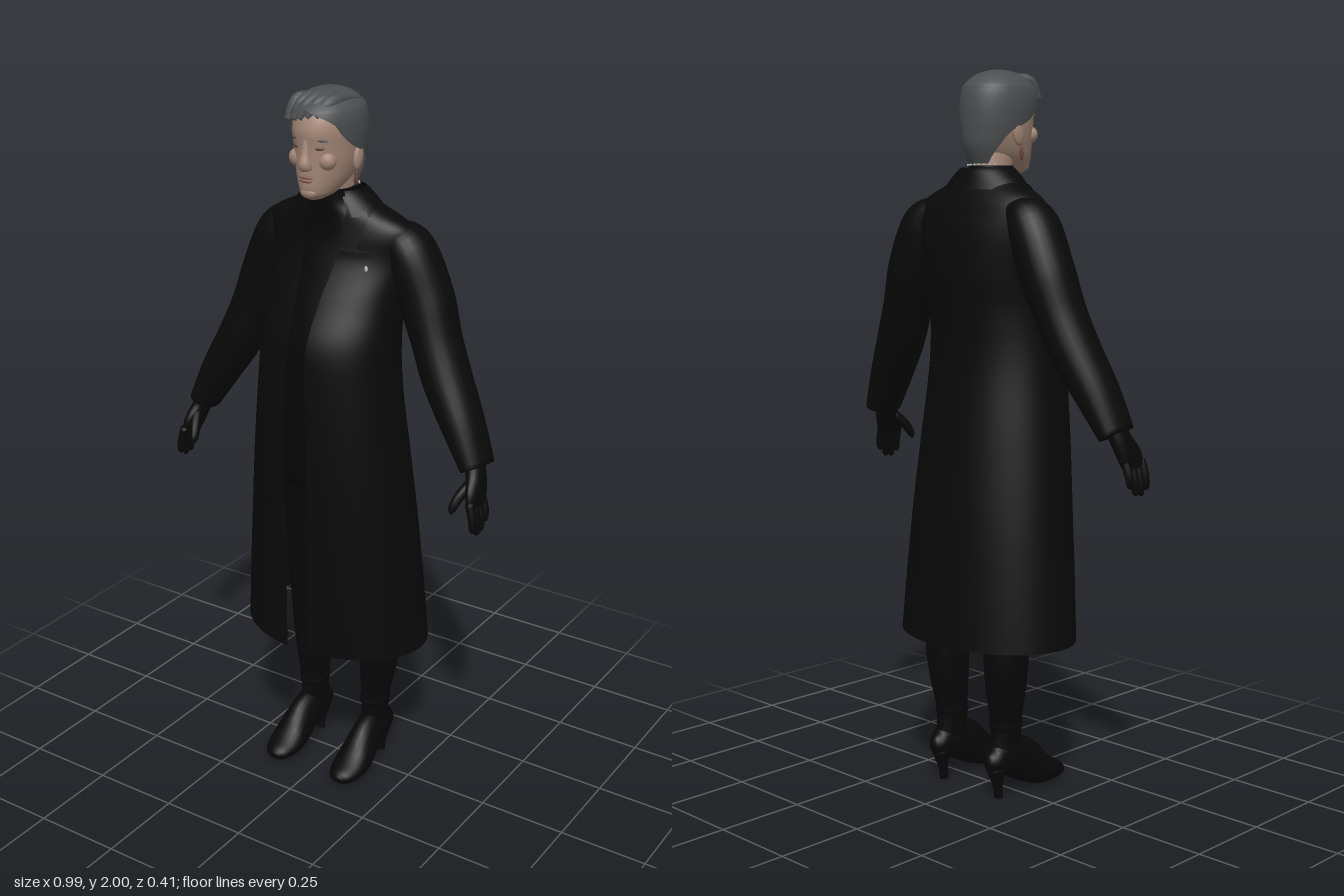
import * as THREE from 'three';
import { mergeVertices } from 'three/addons/utils/BufferGeometryUtils.js';

const V3 = (x, y, z) => new THREE.Vector3(x, y, z);
const mat = (name, color, side = THREE.FrontSide) => {
  const m = new THREE.MeshStandardMaterial({ color, side });
  m.name = name;
  return m;
};

// Smooth interpolation through rows of numbers, t from 0 to 1
function sample(rows, t) {
  const f = t * (rows.length - 1), i = Math.min(Math.floor(f), rows.length - 2), u = f - i;
  const at = k => rows[Math.max(0, Math.min(rows.length - 1, k))];
  return rows[i].map((p1, c) => {
    const p0 = at(i - 1)[c], p2 = at(i + 1)[c], p3 = at(i + 2)[c];
    return p1 + 0.5 * u * (p2 - p0 + u * (2 * p0 - 5 * p1 + 4 * p2 - p3 + u * (3 * (p1 - p2) + p3 - p0)));
  });
}

// Surface through rings of equal point count
function skin(rings, caps) {
  const n = rings[0].length, pos = [], idx = [];
  rings.flat().forEach(p => pos.push(p.x, p.y, p.z));
  for (let i = 0; i < rings.length - 1; i++)
    for (let j = 0; j < n - 1; j++) {
      const a = i * n + j, b = a + 1, c = a + n, d = c + 1;
      idx.push(a, b, d, a, d, c);
    }
  if (caps) [0, rings.length - 1].forEach((r, end) => {
    const mid = rings[r].slice(0, -1).reduce((s, p) => s.add(p), V3(0, 0, 0)).divideScalar(n - 1);
    const k = pos.length / 3;
    pos.push(mid.x, mid.y, mid.z);
    for (let j = 0; j < n - 1; j++) {
      const a = r * n + j;
      end ? idx.push(k, a, a + 1) : idx.push(k, a + 1, a);
    }
  });
  let g = new THREE.BufferGeometry();
  g.setAttribute('position', new THREE.Float32BufferAttribute(pos, 3));
  g.setIndex(idx);
  g = mergeVertices(g, 1e-5);
  g.computeVertexNormals();
  return g;
}

// Horizontal elliptical shell; rows: y, half width, front z, back z, start angle, end angle (degrees from the front)
function shell(rows, { steps = 40, n = 48, caps = false } = {}) {
  const rings = [];
  for (let i = 0; i <= steps; i++) {
    const [y, rx, zf, zb, a0 = 0, a1 = 360 - a0] = sample(rows, i / steps);
    const ring = [];
    for (let j = 0; j <= n; j++) {
      const a = THREE.MathUtils.degToRad(a0 + (a1 - a0) * j / n);
      ring.push(V3(rx * Math.sin(a), y, (zf + zb) / 2 + (zf - zb) / 2 * Math.cos(a)));
    }
    rings.push(ring);
  }
  return skin(rings, caps);
}

// Limb along a path; rows: x, y, z, radius along ref, radius across
function limb(rows, s = 1, { ref = V3(0, 0, 1), steps = 24, n = 24 } = {}) {
  const at = t => { const r = sample(rows, t); return { p: V3(r[0] * s, r[1], r[2]), u: r[3], v: r[4] }; };
  const rings = [];
  for (let i = 0; i <= steps; i++) {
    const t = i / steps, { p, u, v } = at(t);
    const T = at(Math.min(1, t + 0.01)).p.sub(at(Math.max(0, t - 0.01)).p).normalize();
    const U = ref.clone().addScaledVector(T, -ref.dot(T)).normalize(), W = T.clone().cross(U);
    rings.push(Array.from({ length: n + 1 }, (_, j) => {
      const a = j / n * Math.PI * 2;
      return p.clone().addScaledVector(U, u * Math.cos(a)).addScaledVector(W, v * Math.sin(a));
    }));
  }
  return skin(rings, true);
}

export function createModel() {
  const coat = mat('coat black', 0x090909, THREE.DoubleSide);
  const cloth = mat('clothing black', 0x070707);
  const hair = mat('hair grey', 0x4b4d4e, THREE.DoubleSide);
  const face = mat('skin', 0xa18575);
  const lip = mat('lips', 0x8a6459);
  const eye = mat('eyes', 0x5e4c44);
  const metal = mat('silver', 0xb8b8b8);
  const drop = mat('earring brown', 0x6b4030);

  const model = new THREE.Group();
  const add = (name, geo, m) => {
    const mesh = new THREE.Mesh(geo, m);
    mesh.name = name;
    model.add(mesh);
    return mesh;
  };
  const blob = (name, m, x, y, z, rx, ry, rz) => {
    const b = add(name, new THREE.SphereGeometry(1, 16, 12), m);
    b.position.set(x, y, z);
    b.scale.set(rx, ry, rz);
    return b;
  };

  // Long open coat
  add('coat', shell([
    [0.44, 0.28, 0.2, -0.205, 8], [0.62, 0.266, 0.203, -0.192, 8], [0.8, 0.25, 0.205, -0.177, 8],
    [1.0, 0.23, 0.208, -0.155, 9], [1.2, 0.208, 0.205, -0.133, 9], [1.34, 0.197, 0.194, -0.136, 9],
    [1.45, 0.197, 0.145, -0.146, 11], [1.55, 0.21, 0.092, -0.14, 14], [1.62, 0.222, 0.074, -0.121, 16],
    [1.655, 0.2, 0.066, -0.105, 18], [1.69, 0.13, 0.062, -0.085, 28], [1.72, 0.08, 0.06, -0.07, 35],
  ], { steps: 66, n: 64 }), coat);
  // Turned-down collar
  add('collar', shell([
    [1.675, 0.14, 0.085, -0.102, 38], [1.7, 0.118, 0.078, -0.09, 38],
    [1.725, 0.09, 0.07, -0.08, 40], [1.735, 0.077, 0.062, -0.07, 42],
  ], { steps: 12 }), coat);
  // Lapels with a notch near the top
  for (const s of [1, -1]) {
    const rows = [
      [1.2, 0.212, 0.211, -0.133, 9, 10], [1.34, 0.202, 0.201, -0.136, 9, 20],
      [1.45, 0.202, 0.153, -0.146, 11, 31], [1.55, 0.216, 0.1, -0.14, 14, 40],
      [1.59, 0.222, 0.088, -0.13, 15, 40], [1.6, 0.226, 0.085, -0.128, 15, 28],
      [1.655, 0.206, 0.073, -0.105, 18, 36], [1.69, 0.138, 0.07, -0.085, 28, 55],
    ].map(r => s > 0 ? r : [...r.slice(0, 4), 360 - r[5], 360 - r[4]]);
    add(s > 0 ? 'leftLapel' : 'rightLapel', shell(rows, { steps: 42, n: 12 }), coat);
  }

  // Dress body and high neck under the coat
  add('innerTop', shell([
    [0.9, 0.17, 0.12, -0.11], [1.2, 0.17, 0.15, -0.11], [1.34, 0.17, 0.15, -0.115], [1.5, 0.18, 0.1, -0.12],
    [1.6, 0.18, 0.07, -0.1], [1.66, 0.12, 0.065, -0.08], [1.7, 0.068, 0.07, -0.062], [1.74, 0.06, 0.073, -0.052],
  ], { caps: true }), cloth);
  add('neck', limb([[0, 1.68, 0.005, 0.05, 0.05], [0, 1.72, 0.012, 0.055, 0.052], [0, 1.8, 0.03, 0.06, 0.055]]), face);
  // Necklace beads showing above the high neck at the nape
  for (let i = -4; i <= 4; i++) {
    const a = Math.PI + i * 0.24;
    blob('bead', metal, 0.062 * Math.sin(a), 1.742, 0.01 + 0.064 * Math.cos(a), 0.003, 0.003, 0.003);
  }
  blob('lapelPin', metal, 0.14, 1.55, 0.079, 0.005, 0.008, 0.004);

  // Head
  add('head', shell([
    [1.722, 0.018, 0.125, 0.07], [1.735, 0.04, 0.141, 0.03], [1.755, 0.054, 0.146, -0.01], [1.78, 0.066, 0.146, -0.04],
    [1.82, 0.077, 0.146, -0.06], [1.86, 0.082, 0.147, -0.068], [1.9, 0.084, 0.15, -0.068],
    [1.94, 0.078, 0.135, -0.06], [1.97, 0.055, 0.1, -0.03], [1.985, 0.02, 0.06, 0.02],
  ], { caps: true }), face);
  add('nose', limb([
    [0, 1.805, 0.142, 0.014, 0.018], [0, 1.818, 0.147, 0.019, 0.018],
    [0, 1.845, 0.146, 0.011, 0.011], [0, 1.88, 0.143, 0.006, 0.009],
  ]), face);
  blob('chin', face, 0, 1.742, 0.13, 0.026, 0.016, 0.017);
  blob('upperLip', lip, 0, 1.784, 0.146, 0.024, 0.005, 0.006);
  blob('lowerLip', lip, 0, 1.775, 0.145, 0.02, 0.006, 0.007);
  for (const s of [1, -1]) {
    blob('eye', eye, s * 0.034, 1.858, 0.135, 0.014, 0.005, 0.004).rotation.y = s * 0.4;
    const brow = blob('eyebrow', hair, s * 0.036, 1.879, 0.135, 0.02, 0.004, 0.004);
    brow.rotation.set(0, s * 0.42, -s * 0.12);
    blob('cheek', face, s * 0.043, 1.825, 0.115, 0.026, 0.024, 0.022);
    blob('ear', face, s * 0.083, 1.825, 0.03, 0.01, 0.034, 0.019).rotation.x = -0.2;
    blob('earring', drop, s * 0.085, 1.773, 0.04, 0.005, 0.02, 0.005);
  }

  // Short swept hair
  add('hair', shell([
    [1.745, 0.058, 0.06, -0.052, 140], [1.79, 0.077, 0.12, -0.072, 122], [1.83, 0.088, 0.14, -0.077, 106],
    [1.86, 0.093, 0.15, -0.079, 76], [1.89, 0.096, 0.155, -0.079, 58], [1.92, 0.096, 0.157, -0.076, 46],
    [1.94, 0.093, 0.152, -0.071, 22], [1.955, 0.087, 0.143, -0.064, 0], [1.978, 0.064, 0.115, -0.038, 0],
    [1.993, 0.033, 0.078, 0.0, 0], [1.998, 0.001, 0.04, 0.038, 0],
  ], { steps: 50 }), hair);
  for (let i = 0; i < 5; i++) {
    const x = 0.045 - i * 0.024;
    add('hairLock', limb([
      [x * 0.9 - 0.02, 1.935 - i * 0.004, 0.142 - Math.abs(x) * 0.25, 0.006, 0.01],
      [x - 0.005, 1.965, 0.122 - Math.abs(x) * 0.3, 0.011, 0.015],
      [x + 0.012, 1.984 - Math.abs(x) * 0.25, 0.07, 0.011, 0.015],
      [x + 0.02, 1.978 - Math.abs(x) * 0.25, 0.0, 0.004, 0.006],
    ], 1, { n: 12 }), hair);
  }

  for (const s of [1, -1]) {
    const side = s > 0 ? 'left' : 'right';
    // Sleeve, from shoulder to cuff
    add(side + 'Sleeve', limb([
      [0.15, 1.625, -0.035, 0.055, 0.035], [0.2, 1.585, -0.038, 0.075, 0.064], [0.25, 1.465, -0.04, 0.077, 0.073],
      [0.292, 1.355, -0.03, 0.074, 0.066], [0.333, 1.26, -0.018, 0.073, 0.065],
      [0.395, 1.15, 0.0, 0.068, 0.055], [0.449, 1.047, 0.014, 0.06, 0.04],
    ], s, { steps: 36 }), coat);

    // Gloved hand
    add(side + 'Palm', limb([
      [0.44, 1.07, 0.015, 0.032, 0.024], [0.455, 1.025, 0.03, 0.036, 0.024],
      [0.466, 0.985, 0.05, 0.043, 0.021], [0.472, 0.955, 0.058, 0.038, 0.014],
    ], s), cloth);
    for (let i = 0; i < 4; i++) {
      const z = 0.024 + i * 0.022, len = [0.055, 0.075, 0.078, 0.065][i];
      add(side + 'Finger', limb([
        [0.47, 0.975, z, 0.012, 0.012], [0.482, 0.965 - len * 0.5, z + 0.003, 0.0115, 0.0115],
        [0.484, 0.968 - len, z + 0.005, 0.009, 0.009], [0.483, 0.96 - len, z + 0.005, 0.002, 0.002],
      ], s, { steps: 10, n: 12 }), cloth);
    }
    add(side + 'Thumb', limb([
      [0.452, 1.015, 0.055, 0.015, 0.015], [0.436, 0.985, 0.085, 0.014, 0.014],
      [0.427, 0.955, 0.103, 0.011, 0.011], [0.426, 0.94, 0.107, 0.003, 0.003],
    ], s, { steps: 10, n: 12 }), cloth);

    // Leg and boot shaft
    add(side + 'Leg', limb([
      [0.109, 0.09, -0.045, 0.055, 0.034], [0.107, 0.2, -0.04, 0.05, 0.037], [0.113, 0.32, -0.047, 0.062, 0.053],
      [0.116, 0.44, -0.048, 0.067, 0.062], [0.11, 0.65, -0.03, 0.072, 0.07], [0.092, 0.95, -0.015, 0.095, 0.085],
    ], s, { steps: 36 }), cloth);
    add(side + 'BootCuff', limb([
      [0.107, 0.195, -0.04, 0.052, 0.041], [0.107, 0.21, -0.04, 0.054, 0.041],
    ], s, { steps: 2 }), cloth);
    // High-heeled boot foot
    add(side + 'Boot', limb([
      [0.109, 0.115, -0.116, 0.014, 0.01], [0.109, 0.11, -0.095, 0.038, 0.03], [0.109, 0.111, -0.05, 0.053, 0.037],
      [0.11, 0.1, 0, 0.062, 0.04], [0.112, 0.075, 0.04, 0.058, 0.046], [0.113, 0.05, 0.08, 0.047, 0.052],
      [0.113, 0.037, 0.12, 0.034, 0.05], [0.112, 0.031, 0.16, 0.021, 0.035], [0.112, 0.03, 0.176, 0.008, 0.012],
    ], s, { ref: V3(0, 1, 0), steps: 32 }), cloth);
    add(side + 'Heel', limb([
      [0.109, 0, -0.072, 0.012, 0.013], [0.109, 0.035, -0.076, 0.014, 0.014], [0.109, 0.09, -0.083, 0.03, 0.028],
    ], s, { steps: 10, n: 16 }), cloth);
  }
  return model;
}
